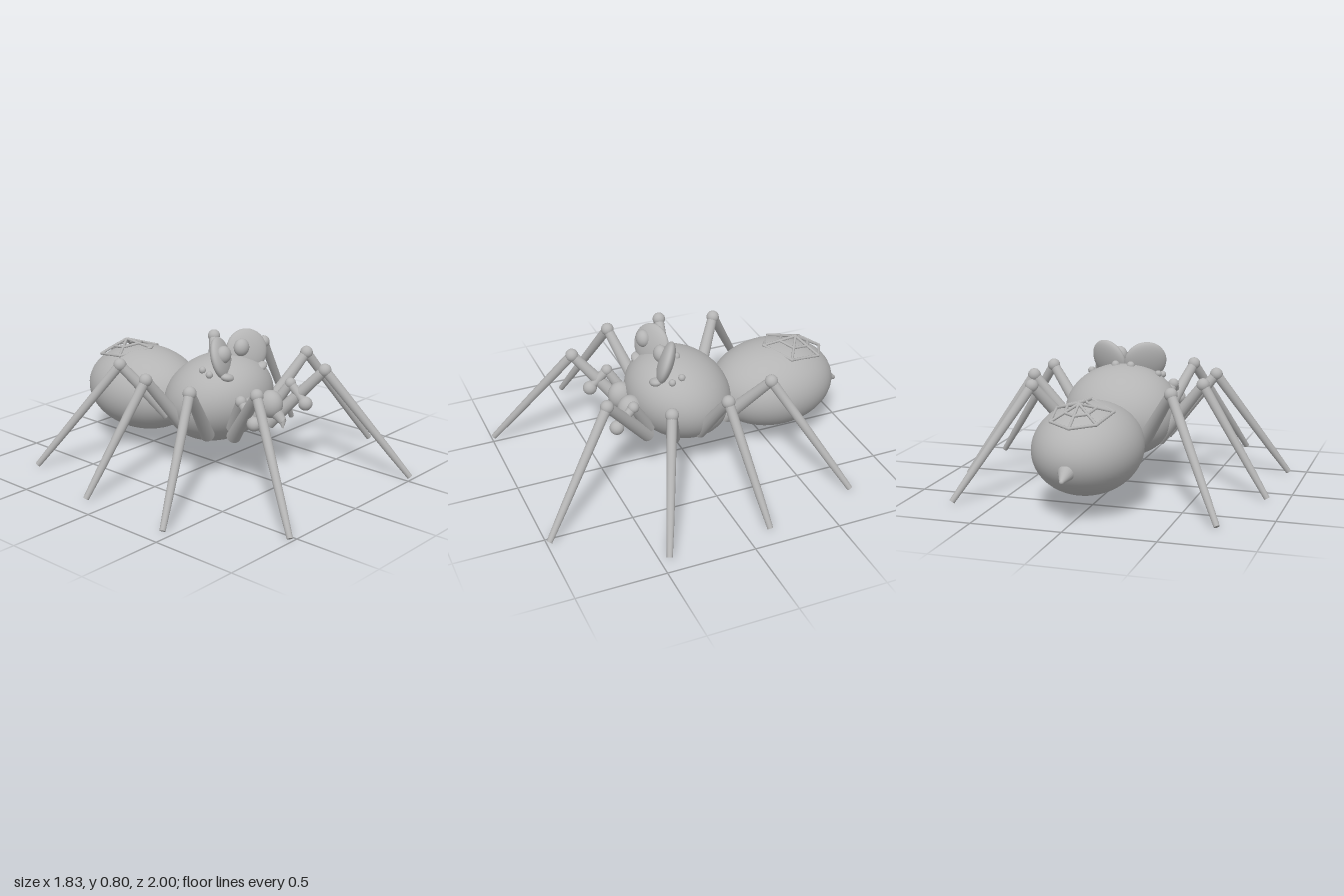
import * as THREE from 'three';

const grey = new THREE.MeshStandardMaterial({ color: 0xb4b4b4 });
grey.name = 'grey';

const V = (p) => new THREE.Vector3(...p);

function add(parent, name, geometry) {
  const mesh = new THREE.Mesh(geometry, grey);
  mesh.name = name;
  parent.add(mesh);
  return mesh;
}

// Ellipsoid with given centre, radii and rotation
function ball(parent, name, pos, radii, rot = [0, 0, 0], seg = 24) {
  const m = add(parent, name, new THREE.SphereGeometry(1, seg, Math.ceil(seg * 0.67)));
  m.position.set(...pos);
  m.scale.set(...radii);
  m.rotation.set(rot[0], rot[1], rot[2], 'YXZ');
  return m;
}

// Tapered rod from point a to point b
function rod(parent, name, a, b, ra, rb, sides = 16) {
  const from = V(a), to = V(b);
  const dir = to.clone().sub(from);
  const m = add(parent, name, new THREE.CylinderGeometry(rb, ra, dir.length(), sides));
  m.position.copy(from).lerp(to, 0.5);
  m.quaternion.setFromUnitVectors(new THREE.Vector3(0, 1, 0), dir.normalize());
  return m;
}

function group(parent, name) {
  const g = new THREE.Group();
  g.name = name;
  parent.add(g);
  return g;
}

function addLeg(parent, name, hip, knee, foot) {
  const leg = group(parent, name);
  rod(leg, 'upperLeg', hip, knee, 0.04, 0.028);
  ball(leg, 'knee', knee, [0.037, 0.037, 0.037], [0, 0, 0], 18);
  // Lower leg in three tapering segments
  const k = V(knee), f = V(foot);
  const stops = [0, 0.48, 0.77, 1];
  const radii = [0.028, 0.024, 0.021, 0.016];
  for (let i = 0; i < 3; i++) {
    rod(leg, 'lowerLeg' + (i + 1),
      k.clone().lerp(f, stops[i]).toArray(), k.clone().lerp(f, stops[i + 1]).toArray(),
      radii[i], radii[i + 1]);
  }
}

function addWeb(parent) {
  const web = group(parent, 'webOrnament');
  const centre = V([0, 0.608, -0.715]);
  const rim = [
    [0, 0.512, -0.875], [0.125, 0.525, -0.805], [0.158, 0.555, -0.615],
    [0, 0.592, -0.51], [-0.158, 0.555, -0.615], [-0.125, 0.525, -0.805],
  ].map(V);
  const at = (i, t) => centre.clone().lerp(rim[i % 6], t).toArray();
  for (let i = 0; i < 6; i++) {
    rod(web, 'spoke', at(i, 0), at(i, 1), 0.008, 0.008, 8);
    for (const t of [0.5, 1]) {
      rod(web, 'thread', at(i, t), at(i + 1, t), 0.008, 0.008, 8);
      ball(web, 'threadJoint', at(i, t), [0.009, 0.009, 0.009], [0, 0, 0], 8);
    }
  }
}

export function createModel() {
  const spider = new THREE.Group();
  spider.name = 'spider';

  // Body
  ball(spider, 'headAndThorax', [0, 0.418, 0.028], [0.325, 0.25, 0.308], [-0.4, 0, 0], 48);
  ball(spider, 'abdomen', [0, 0.343, -0.567], [0.293, 0.247, 0.371], [0, 0, 0], 48);
  rod(spider, 'spinneret', [0, 0.3, -0.9], [0, 0.264, -0.99], 0.055, 0.012, 20);
  ball(spider, 'spinneretTip', [0, 0.264, -0.987], [0.013, 0.013, 0.013], [0, 0, 0], 12);
  addWeb(spider);

  const legs = [
    [[0.15, 0.27, 0.27], [0.293, 0.61, 0.553], [0.538, 0.015, 0.985]],
    [[0.23, 0.27, 0.15], [0.497, 0.61, 0.265], [0.9, 0.015, 0.447]],
    [[0.23, 0.27, -0.01], [0.497, 0.61, -0.06], [0.885, 0.015, -0.142]],
    [[0.2, 0.31, -0.18], [0.395, 0.61, -0.365], [0.735, 0.015, -0.71]],
  ];

  for (const s of [1, -1]) {
    const side = s > 0 ? 'left' : 'right';
    const mir = (p) => [p[0] * s, p[1], p[2]];

    legs.forEach((pts, i) => addLeg(spider, side + 'Leg' + (i + 1), ...pts.map(mir)));

    // Big goggle eye, leaning back and turned inward
    ball(spider, side + 'MainEye', mir([0.108, 0.685, 0.14]), [0.122, 0.122, 0.042],
      [-0.3, -0.46 * s, 0], 32);

    // Small secondary eyes
    const small = [
      [0.21, 0.615, 0.145, 0.02], [0.2, 0.628, 0.085, 0.02], [0.045, 0.672, 0.055, 0.024],
    ];
    for (const [x, y, z, r] of small) {
      ball(spider, side + 'SmallEye', mir([x, y, z]), [r, r, r], [0, 0, 0], 14);
    }
    ball(spider, side + 'FrontEye', mir([0.14, 0.597, 0.215]), [0.045, 0.024, 0.035],
      [0, 0, 0.3 * s], 18);

    // Jaw and fang
    ball(spider, side + 'Jaw', mir([0.077, 0.42, 0.345]), [0.066, 0.08, 0.072]);
    rod(spider, side + 'FangBase', mir([0.082, 0.375, 0.385]), mir([0.086, 0.333, 0.428]), 0.036, 0.023);
    rod(spider, side + 'FangTip', mir([0.086, 0.337, 0.424]), mir([0.072, 0.298, 0.44]), 0.023, 0.002);

    // Feeler
    const feeler = group(spider, side + 'Feeler');
    rod(feeler, 'feelerUpper', mir([0.15, 0.32, 0.26]), mir([0.213, 0.515, 0.375]), 0.034, 0.026);
    ball(feeler, 'feelerJoint', mir([0.213, 0.515, 0.375]), [0.032, 0.032, 0.032], [0, 0, 0], 16);
    rod(feeler, 'feelerLower', mir([0.213, 0.515, 0.375]), mir([0.222, 0.415, 0.477]), 0.026, 0.022);
    ball(feeler, 'feelerTip', mir([0.222, 0.415, 0.477]), [0.04, 0.04, 0.04], [0, 0, 0], 18);
  }

  // Pupils, both glancing toward the right
  ball(spider, 'leftPupil', [0.052, 0.715, 0.15], [0.048, 0.05, 0.04]);
  ball(spider, 'rightPupil', [-0.135, 0.72, 0.18], [0.048, 0.05, 0.04]);

  return spider;
}
